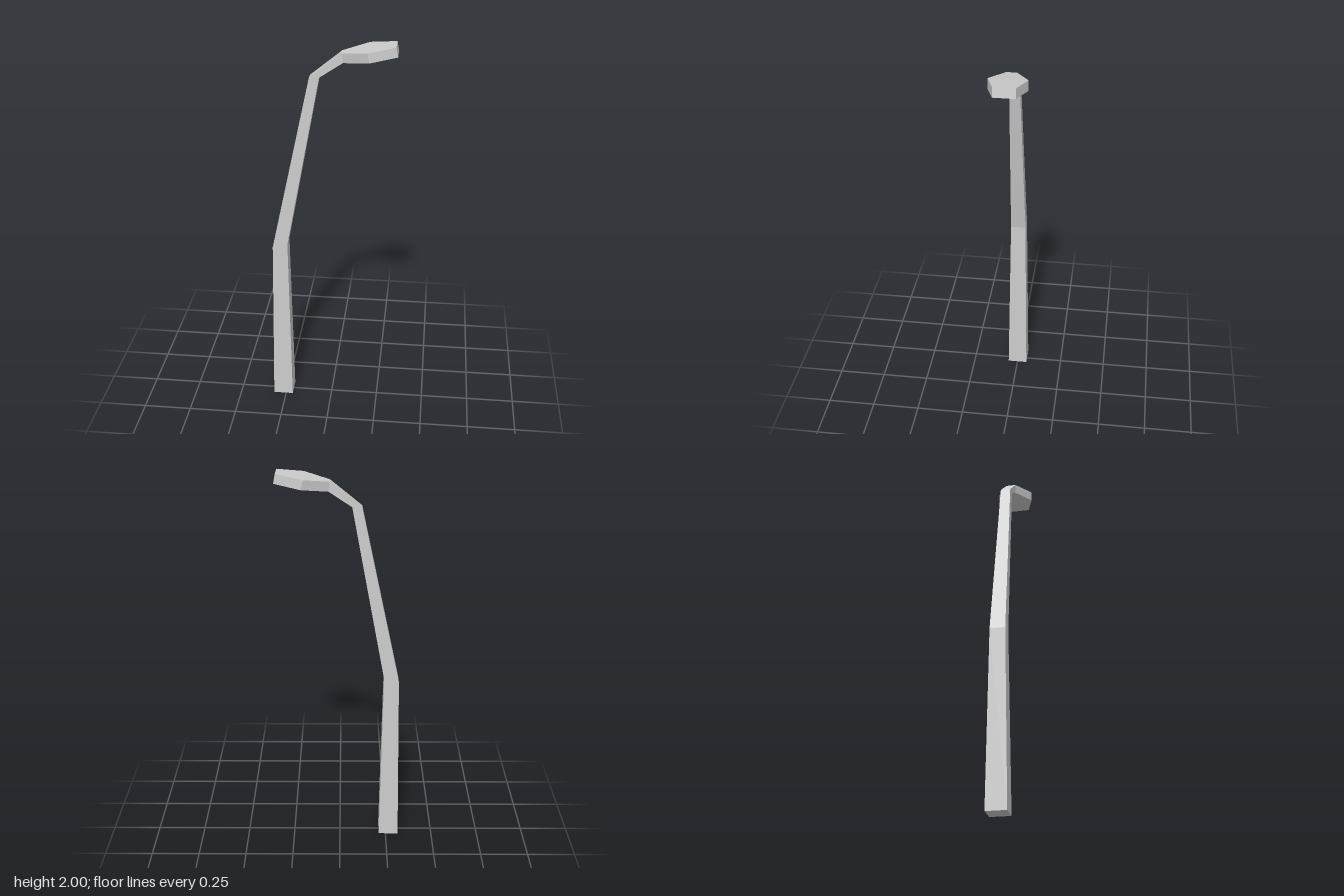
import * as THREE from 'three';

// Cross-sections: [outer x, outer y, inner x, inner y, half width in z]
const base = [-0.317, 0, -0.213, 0, 0.052];
const bend = [-0.304, 0.91, -0.227, 0.93, 0.039];
const shoulder = [-0.108, 1.829, -0.059, 1.832, 0.026];
const neck = [0.048, 1.956, 0.055, 1.908, 0.025];
const headWide = [0.175, 1.98, 0.184, 1.932, 0.093];
const headTip = [0.307, 2.0, 0.316, 1.953, 0.053];

// Skins four-cornered sections into one faceted bar, with optional end caps
function loft(name, sections, capStart, capEnd) {
  const points = [];
  for (const [ax, ay, bx, by, w] of sections) {
    points.push(ax, ay, w, ax, ay, -w, bx, by, -w, bx, by, w);
  }
  const index = [];
  for (let i = 0; i < sections.length - 1; i++) {
    for (let j = 0; j < 4; j++) {
      const a = i * 4 + j, b = i * 4 + (j + 1) % 4;
      index.push(a, a + 4, b + 4, a, b + 4, b);
    }
  }
  const e = (sections.length - 1) * 4;
  if (capStart) index.push(0, 1, 2, 0, 2, 3);
  if (capEnd) index.push(e, e + 2, e + 1, e, e + 3, e + 2);

  const indexed = new THREE.BufferGeometry();
  indexed.setAttribute('position', new THREE.Float32BufferAttribute(points, 3));
  indexed.setIndex(index);
  const geometry = indexed.toNonIndexed();
  geometry.computeVertexNormals();
  const mesh = new THREE.Mesh(
    geometry,
    new THREE.MeshStandardMaterial({ color: 0xcccccc, flatShading: true })
  );
  mesh.name = name;
  return mesh;
}

export function createModel() {
  const model = new THREE.Group();
  model.name = 'streetLamp';
  model.add(
    // Tapering post, bent halfway up
    loft('post', [base, bend, shoulder], true, false),
    // Short arm reaching over to the lamp
    loft('arm', [shoulder, neck], false, false),
    // Flat hexagonal lamp, tilted slightly upward
    loft('lampHead', [neck, headWide, headTip], false, true)
  );
  return model;
}
